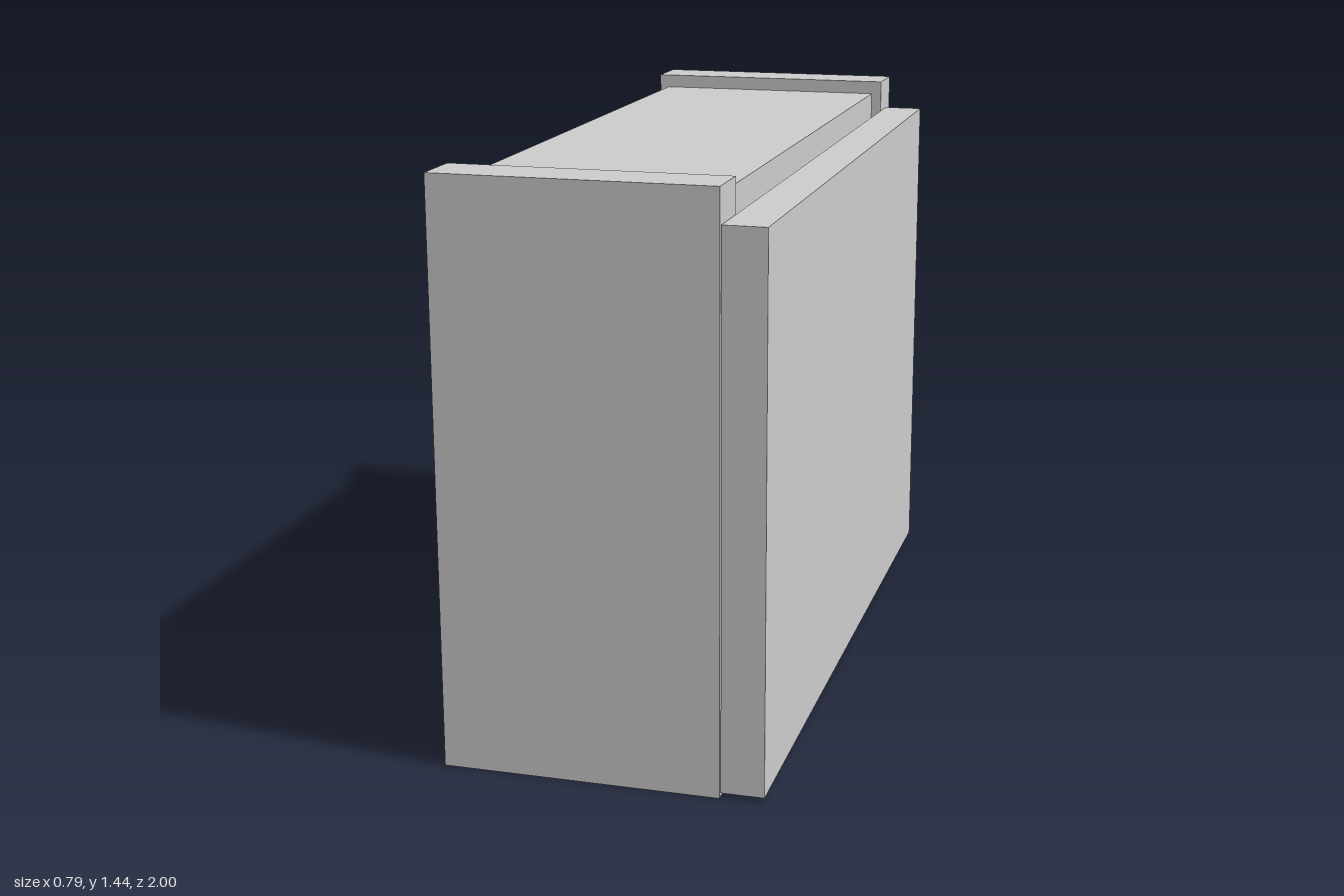
import * as THREE from 'three';

export function createModel() {
  const model = new THREE.Group();
  model.name = 'shelfCabinet';
  const material = new THREE.MeshStandardMaterial({ color: 0xcccccc, flatShading: true });

  // Box given by its [min, max] range on each axis
  function board(name, [x0, x1], [y0, y1], [z0, z1]) {
    const mesh = new THREE.Mesh(new THREE.BoxGeometry(x1 - x0, y1 - y0, z1 - z0), material);
    mesh.position.set((x0 + x1) / 2, (y0 + y1) / 2, (z0 + z1) / 2);
    mesh.name = name;
    model.add(mesh);
  }

  // Thick end walls
  board('frontEndWall', [-0.395, 0.288], [0, 1.44], [0.862, 1]);
  board('rearEndWall', [-0.395, 0.288], [0, 1.44], [-1, -0.862]);

  // Bottom, middle and top shelves
  const shelfThickness = 0.103;
  const shelfTops = { bottomShelf: 0.116, middleShelf: 0.765, topShelf: 1.404 };
  for (const [name, top] of Object.entries(shelfTops)) {
    board(name, [-0.37, 0.26], [top - shelfThickness, top], [-0.862, 0.862]);
  }

  // Thin backing between the bottom and top shelves
  board('backBoard', [0.23, 0.258], [0.1, 1.32], [-0.862, 0.862]);

  // Large panel on the outside, slightly offset along z
  board('outerPanel', [0.29, 0.395], [0.012, 1.355], [-0.935, 0.995]);

  return model;
}
